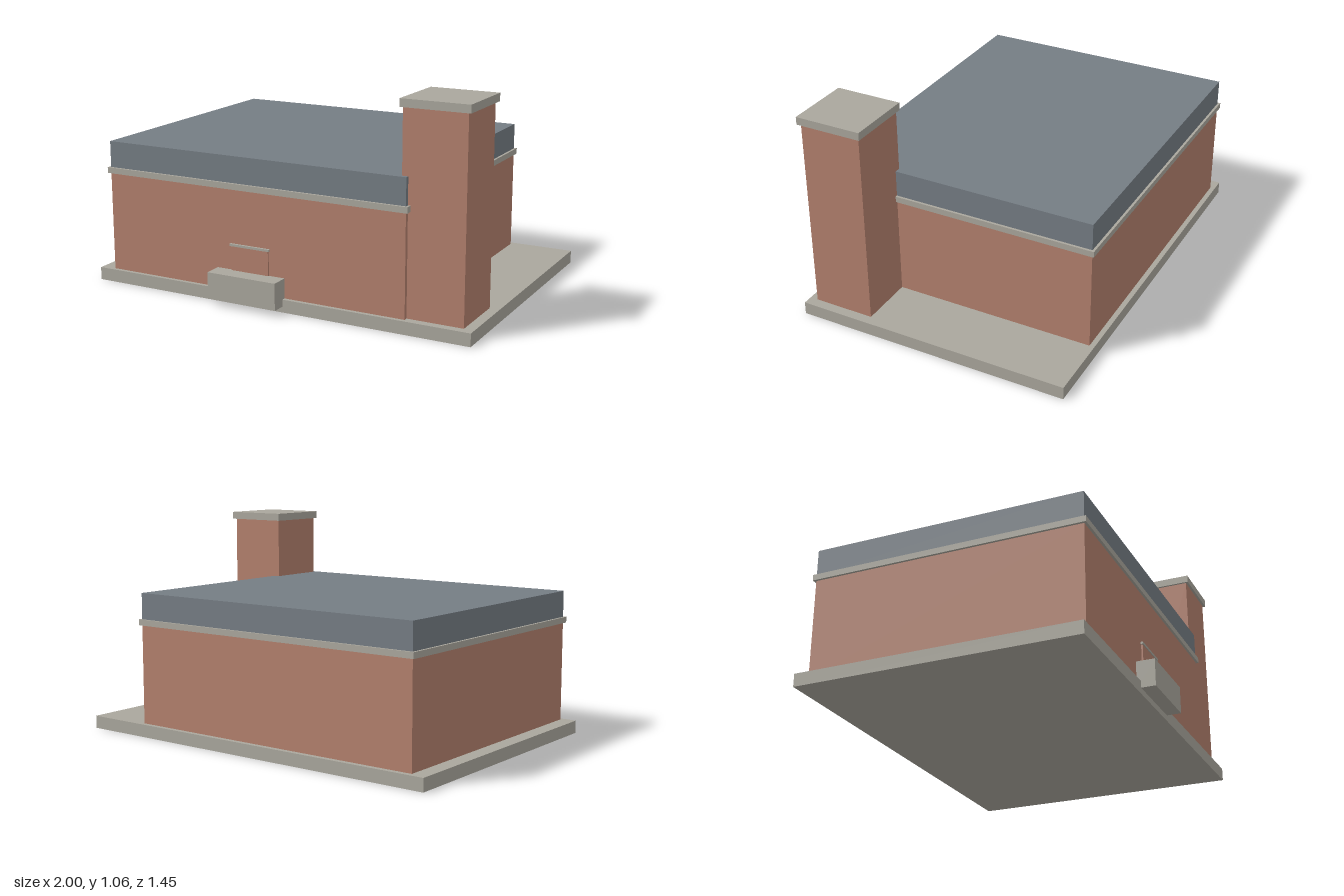
import * as THREE from 'three';

const material = (name, color) => {
  const m = new THREE.MeshStandardMaterial({ color });
  m.name = name;
  return m;
};

export function createModel() {
  const brick = material('brick', 0xb3806d);
  const stone = material('stone', 0xaaa79d);
  const slate = material('slate', 0x757d84);

  const building = new THREE.Group();
  building.name = 'building';

  // Adds a box given its extents along each axis
  const addBox = (name, mat, [x0, x1], [y0, y1], [z0, z1]) => {
    const mesh = new THREE.Mesh(new THREE.BoxGeometry(x1 - x0, y1 - y0, z1 - z0), mat);
    mesh.position.set((x0 + x1) / 2, (y0 + y1) / 2, (z0 + z1) / 2);
    mesh.name = name;
    building.add(mesh);
  };

  // Ground slab
  addBox('baseSlab', stone, [-1, 1], [0, 0.063], [-0.725, 0.655]);

  // Main hall: walls, projecting cornice band, flat roof
  addBox('hallWalls', brick, [-0.925, 0.675], [0.063, 0.556], [-0.7, 0.635]);
  addBox('cornice', stone, [-0.937, 0.687], [0.556, 0.585], [-0.712, 0.647]);
  addBox('roof', slate, [-0.925, 0.675], [0.585, 0.715], [-0.7, 0.635]);

  // Corner tower with overhanging cap
  addBox('tower', brick, [0.645, 0.951], [0.063, 1.02], [0.309, 0.615]);
  addBox('towerCap', stone, [0.634, 0.966], [1.02, 1.058], [0.296, 0.628]);

  // Entrance: shallow doorway, lintel and front block
  addBox('doorway', brick, [-0.226, -0.026], [0.063, 0.28], [0.63, 0.643]);
  addBox('lintel', stone, [-0.234, -0.02], [0.28, 0.291], [0.63, 0.647]);
  addBox('entranceBlock', stone, [-0.31, 0.058], [0.029, 0.161], [0.634, 0.725]);

  return building;
}
